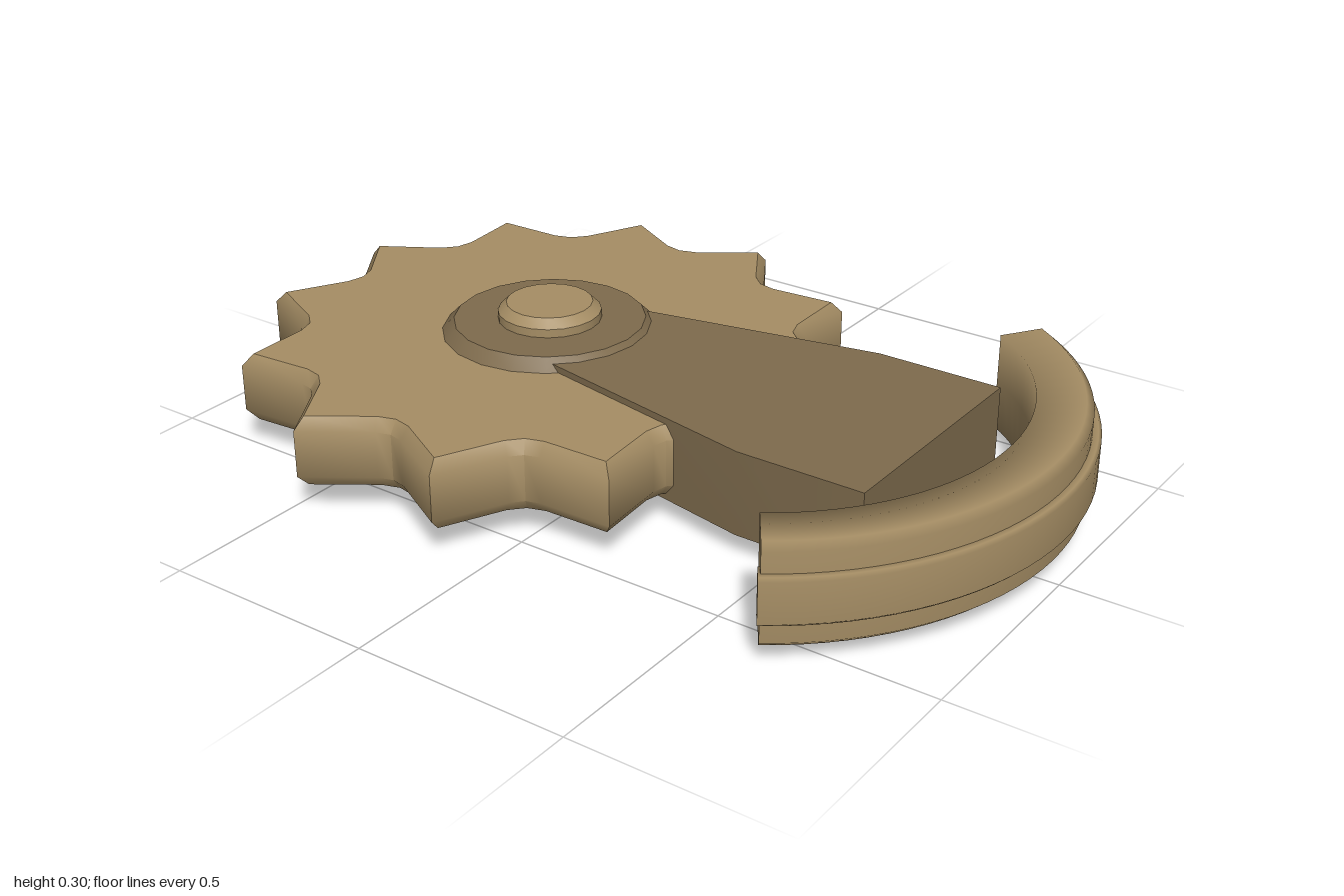
import * as THREE from 'three';
import { mergeGeometries, toCreasedNormals } from 'three/addons/utils/BufferGeometryUtils.js';

const HUB_Z = -0.31; // gear axis
const MID_Y = 0.15; // plane of symmetry
const rad = THREE.MathUtils.degToRad;
const vec = (x, y) => new THREE.Vector2(x, y);

// Extrudes an outline (x, -z) upright, centred on MID_Y
function plate(points, height, bevel, bevelHeight) {
  const geo = new THREE.ExtrudeGeometry(new THREE.Shape(points), {
    depth: height - 2 * bevelHeight,
    bevelEnabled: bevel > 0,
    bevelSize: bevel,
    bevelOffset: -bevel,
    bevelThickness: bevelHeight,
    bevelSegments: 1,
  });
  geo.translate(0, 0, bevelHeight - height / 2);
  geo.rotateX(-Math.PI / 2);
  geo.translate(0, MID_Y, 0);
  return toCreasedNormals(geo, 0.7);
}

// Chamfered round disc on the gear axis
function disc(radius, height, chamfer, segments) {
  const h = height / 2;
  const geo = new THREE.LatheGeometry([
    vec(0, -h), vec(radius - chamfer, -h), vec(radius, -h + chamfer),
    vec(radius, h - chamfer), vec(radius - chamfer, h), vec(0, h),
  ], segments);
  geo.translate(0, MID_Y, HUB_Z);
  return toCreasedNormals(geo, 0.5);
}

// Curved bar: a closed (radius, y) profile swept about a vertical axis, with end caps
function arcBar(profile, halfAngle, centreZ) {
  const sweep = new THREE.LatheGeometry([...profile, profile[0]], 32, -halfAngle, 2 * halfAngle);
  const caps = [-1, 1].map((side) => {
    const cap = new THREE.ShapeGeometry(new THREE.Shape(profile));
    if (side > 0) {
      cap.index.array.reverse();
      cap.computeVertexNormals();
    }
    return cap.rotateY(side * halfAngle - Math.PI / 2);
  });
  return mergeGeometries([sweep, ...caps]).translate(0, MID_Y, centreZ);
}

export function createModel() {
  const model = new THREE.Group();
  model.name = 'gearPendant';

  const tan = new THREE.MeshStandardMaterial({ color: 0xa68e65 });
  tan.name = 'tan';
  const brown = new THREE.MeshStandardMaterial({ color: 0x7e6b4d });
  brown.name = 'brown';

  const add = (name, geometry, material) => {
    const mesh = new THREE.Mesh(geometry, material);
    mesh.name = name;
    model.add(mesh);
  };

  // Twelve-toothed gear with pointed tips and rounded valleys
  const teeth = [];
  for (let i = 0; i < 12; i++) {
    for (const [offset, r] of [[0, 0.706], [11.7, 0.592], [15, 0.582], [18.3, 0.592]]) {
      const a = rad(12.2 + i * 30 + offset);
      teeth.push(vec(r * Math.sin(a), r * Math.cos(a) - HUB_Z));
    }
  }
  add('gear', plate(teeth, 0.165, 0.02, 0.028), tan);

  // Hub disc and axle pin
  add('hub', disc(0.25, 0.22, 0.028, 20), brown);
  add('axlePin', disc(0.12, 0.3, 0.02, 20), tan);

  // Tapered arm from the hub towards the front
  add('arm', plate([
    vec(-0.29, -0.7), vec(0.29, -0.7), vec(0.29, -0.4),
    vec(0.15, -HUB_Z), vec(-0.15, -HUB_Z), vec(-0.29, -0.4),
  ], 0.195, 0, 0), brown);

  // Curved guard with a raised band around its outside
  const guard = [
    vec(0.604, 0), vec(0.604, -0.115), vec(0.71, -0.115), vec(0.727, -0.1),
    vec(0.727, 0.1), vec(0.71, 0.115), vec(0.604, 0.115),
  ];
  add('guard', arcBar(guard, rad(55.9), 0.253), tan);
  const band = [
    vec(0.7, 0), vec(0.7, -0.053), vec(0.74, -0.053), vec(0.747, -0.046),
    vec(0.747, 0.046), vec(0.74, 0.053), vec(0.7, 0.053),
  ];
  add('guardBand', arcBar(band, rad(56.3), 0.253), tan);

  return model;
}
